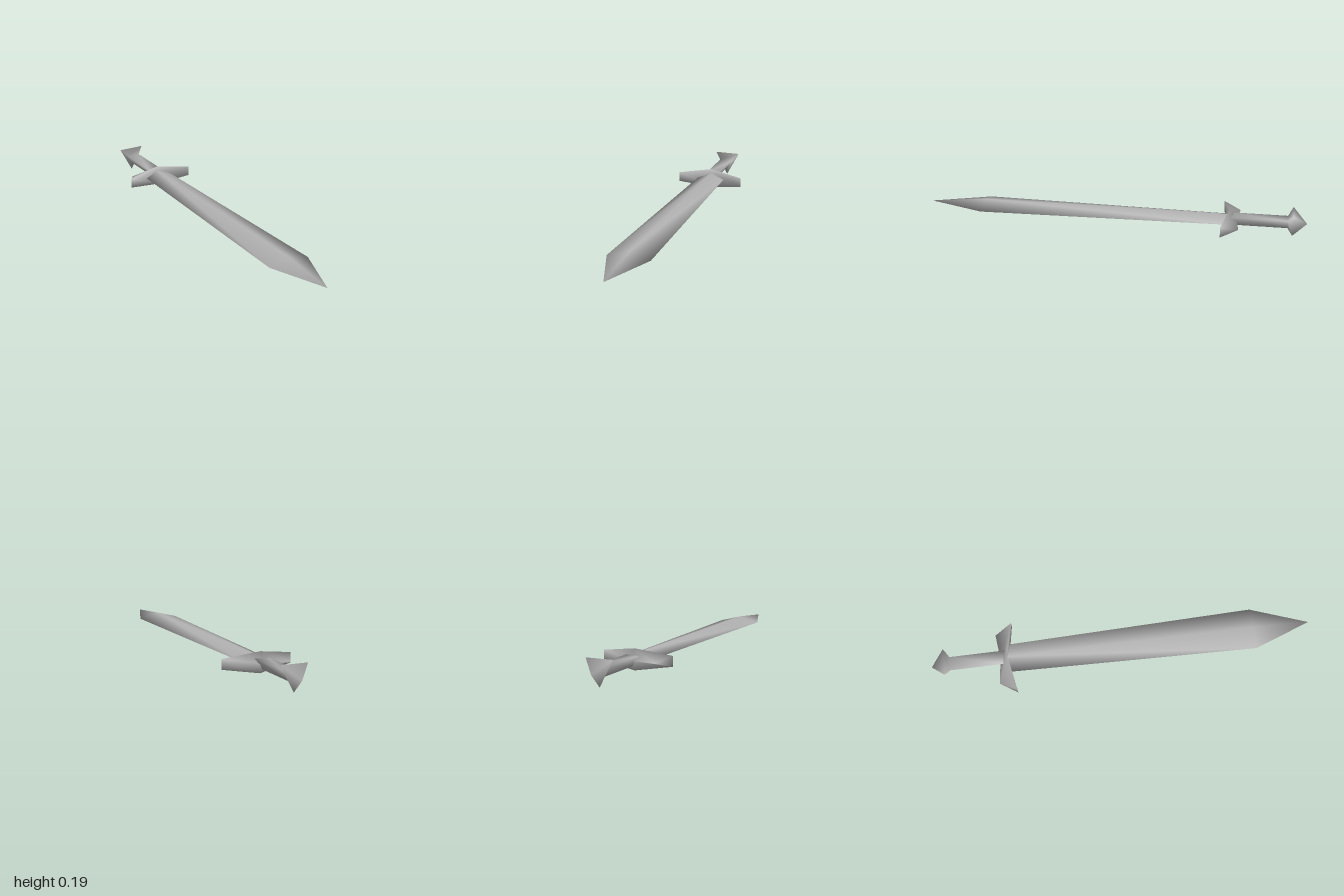
import * as THREE from 'three';
import { mergeVertices } from 'three/addons/utils/BufferGeometryUtils.js';

// Smooth closed skin over a row of cross-sections, each a loop of [x, y, z]
function loft(rings) {
  const n = rings[0].length, last = (rings.length - 1) * n, index = [];
  for (let i = 0; i < last; i += n) {
    for (let j = 0; j < n; j++) {
      const k = (j + 1) % n;
      index.push(i + j, i + k, i + n + k, i + j, i + n + k, i + n + j);
    }
  }
  for (let j = 1; j < n - 1; j++) {
    index.push(0, j + 1, j, last, last + j, last + j + 1);
  }
  const g = new THREE.BufferGeometry();
  g.setAttribute('position', new THREE.Float32BufferAttribute(rings.flat(2), 3));
  g.setIndex(index);
  const merged = mergeVertices(g);
  merged.computeVertexNormals();
  return merged;
}

const MID = 0.1; // height of the sword's axis

// Diamond section of the blade at x
const diamond = (x, h, w) => [[x, MID + h, 0], [x, MID, w], [x, MID - h, 0], [x, MID, -w]];

// Point-down triangular section of the grip and pommel at x
const triangle = (x, top, bottom, w) => [[x, top, w], [x, bottom, 0], [x, top, -w]];

// Wedge section of the guard at z: tall front edge, sharp back edge
const wedge = (z, front, back, h, zBack = z) =>
  [[front, MID + h, z], [back, MID, zBack], [front, MID - h, z]];

export function createModel() {
  const steel = new THREE.MeshStandardMaterial({ color: 0xb4b4b4 });
  steel.name = 'grey steel';

  const sword = new THREE.Group();
  sword.name = 'sword';
  const add = (name, rings) => {
    const mesh = new THREE.Mesh(loft(rings), steel);
    mesh.name = name;
    sword.add(mesh);
  };

  // Blade widens slightly towards the shoulder, then runs to a point
  add('blade', [
    diamond(-0.86, 0.04, 0.107),
    diamond(0.99, 0.04, 0.156),
    diamond(1.414, 0, 0),
  ]);

  // Cross guard, swept forward at both ends
  add('guard', [
    wedge(-0.262, -0.8, -0.926, 0.037, -0.19),
    wedge(0, -0.848, -0.905, 0.076),
    wedge(0.262, -0.8, -0.926, 0.037, 0.19),
  ]);

  // Grip flaring into a pointed pommel
  add('gripAndPommel', [
    triangle(-1.414, MID, MID, 0),
    triangle(-1.312, 0.187, 0, 0.1),
    triangle(-1.275, 0.134, 0.058, 0.052),
    triangle(-0.86, 0.134, 0.058, 0.052),
  ]);

  // Lay the sword along the diagonal
  sword.rotation.y = -Math.PI / 4;
  const model = new THREE.Group();
  model.name = 'model';
  model.add(sword);
  return model;
}
